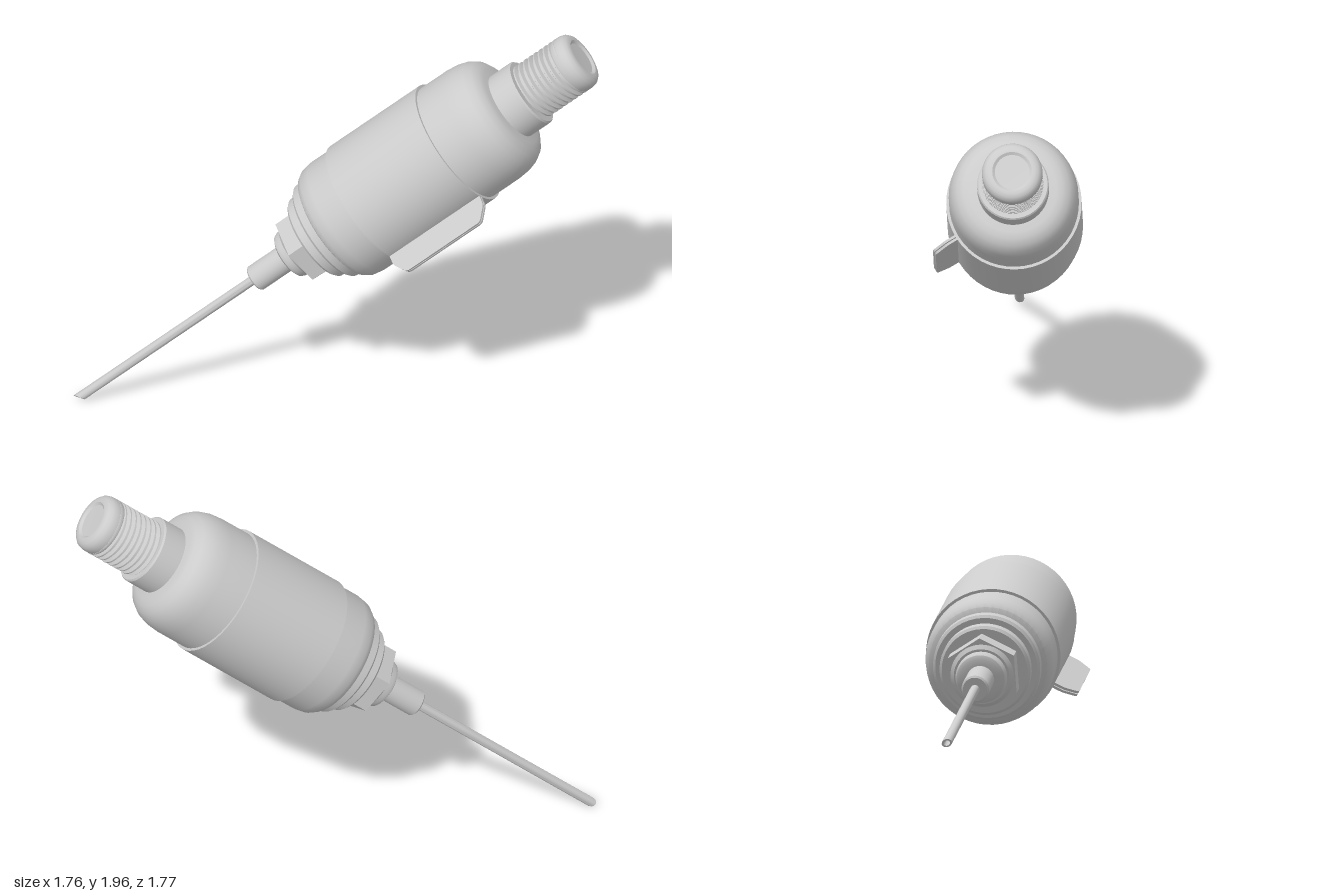
import * as THREE from 'three';
import { toCreasedNormals } from 'three/addons/utils/BufferGeometryUtils.js';

const material = new THREE.MeshStandardMaterial({ color: 0xcccccc });

// Turned part from [radius, distance along the axis] pairs
function lathe(points, segments = 48) {
  return new THREE.LatheGeometry(points.map(([r, y]) => new THREE.Vector2(r, y)), segments);
}

function moveVertices(geometry, rule) {
  const p = geometry.attributes.position;
  const v = new THREE.Vector3();
  for (let i = 0; i < p.count; i++) {
    rule(v.fromBufferAttribute(p, i), i);
    p.setXYZ(i, v.x, v.y, v.z);
  }
  return geometry;
}

export function createModel() {
  const model = new THREE.Group();
  model.name = 'needleProbe';
  const add = (name, geometry, crease = 0.6) => {
    const mesh = new THREE.Mesh(toCreasedNormals(geometry, crease), material);
    mesh.name = name;
    model.add(mesh);
    return mesh;
  };

  // Hollow needle with a slanted tip
  const needleRadius = 0.022;
  const needle = lathe([[0, 0.15], [0.014, 0.15], [0.014, 0], [needleRadius, 0], [needleRadius, 1.08]], 12);
  moveVertices(needle, (v) => {
    if (v.y < 0.01) v.y += 0.014 + 0.02 * v.x / needleRadius;
  });
  add('needle', needle);

  // Sleeve that holds the needle, and the rounded ring behind it
  add('needleSleeve', lathe([[0, 1.05], [0.056, 1.05], [0.064, 1.058], [0.064, 1.28]], 32));
  add('sleeveRing', lathe([[0.05, 1.245], [0.095, 1.245], [0.112, 1.255], [0.119, 1.272], [0.119, 1.34]]));

  // Hexagonal nut with one corner in line with the clamp tab
  const nut = new THREE.CylinderGeometry(0.178, 0.178, 0.1, 6);
  nut.rotateY(Math.PI / 6).translate(0, 1.365, 0);
  add('hexNut', nut);
  add('nutChamfer', new THREE.CylinderGeometry(0.15, 0.13, 0.02, 48).translate(0, 1.307, 0));

  // Stepped base plate below the body
  add('basePlate', lathe([[0, 1.405], [0.2, 1.405], [0.212, 1.417], [0.212, 1.49]]));

  // Main body with rounded shoulders
  add('body', lathe([
    [0, 1.465], [0.238, 1.465], [0.25, 1.477], [0.252, 1.515], [0.275, 1.525], [0.292, 1.552], [0.3, 1.6],
    [0.3, 2.4], [0.295, 2.455], [0.282, 2.5], [0.26, 2.535], [0.23, 2.556], [0.2, 2.565], [0, 2.565],
  ]));

  // Clamp band around the body
  add('clampBand', lathe([[0.295, 1.72], [0.313, 1.72], [0.313, 2.25], [0.295, 2.25]]));

  // Paired sheet tabs of the clamp
  const tab = new THREE.Shape();
  tab.moveTo(0.28, 1.72);
  tab.lineTo(0.345, 1.72);
  tab.quadraticCurveTo(0.365, 1.72, 0.38, 1.733);
  tab.lineTo(0.413, 1.757);
  tab.quadraticCurveTo(0.43, 1.768, 0.43, 1.79);
  tab.lineTo(0.43, 2.185);
  tab.quadraticCurveTo(0.43, 2.202, 0.413, 2.213);
  tab.lineTo(0.38, 2.237);
  tab.quadraticCurveTo(0.365, 2.25, 0.345, 2.25);
  tab.lineTo(0.28, 2.25);
  for (const side of [-1, 1]) {
    const plate = new THREE.ExtrudeGeometry(tab, { depth: 0.011, bevelEnabled: false });
    plate.translate(0, 0, -0.0055 + side * 0.0075);
    add(side < 0 ? 'clampTabRear' : 'clampTabFront', plate);
  }

  // Neck between body and thread
  add('neck', lathe([[0.166, 2.55], [0.166, 2.68], [0.16, 2.688], [0, 2.688]]));

  // Helical thread: rings sheared by one pitch per turn
  const pitch = 0.029;
  const segments = 48;
  const ridges = [];
  for (let i = 0; i < 9; i++) {
    const y = 2.65 + i * pitch;
    ridges.push([0.121, y], [0.121, y + pitch * 0.25], [0.141, y + pitch * 0.5], [0.141, y + pitch * 0.75]);
  }
  ridges.push([0.121, 2.65 + 9 * pitch]);
  const thread = lathe(ridges, segments);
  moveVertices(thread, (v, i) => {
    v.y += pitch * Math.floor(i / ridges.length) / segments;
  });
  add('thread', thread);

  // End cap with a rounded rim and a shallow dish
  add('endCap', lathe([
    [0.11, 2.905], [0.136, 2.905], [0.14, 2.912], [0.14, 2.95], [0.135, 2.97], [0.122, 2.985],
    [0.105, 2.992], [0.092, 2.992], [0.08, 2.982], [0, 2.98],
  ]));

  // Tilt the whole probe: local y runs along the shaft, local x along the tab
  const axis = new THREE.Vector3(0.549, 0.624, -0.557).normalize();
  const across = new THREE.Vector3(1, 0, 0).addScaledVector(axis, -axis.x).normalize();
  const basis = new THREE.Matrix4().makeBasis(across, axis, across.clone().cross(axis));
  model.quaternion.setFromRotationMatrix(basis);
  model.position.set(-0.87, 0.02, 0.888);

  const root = new THREE.Group();
  root.name = 'probe';
  root.add(model);
  return root;
}
